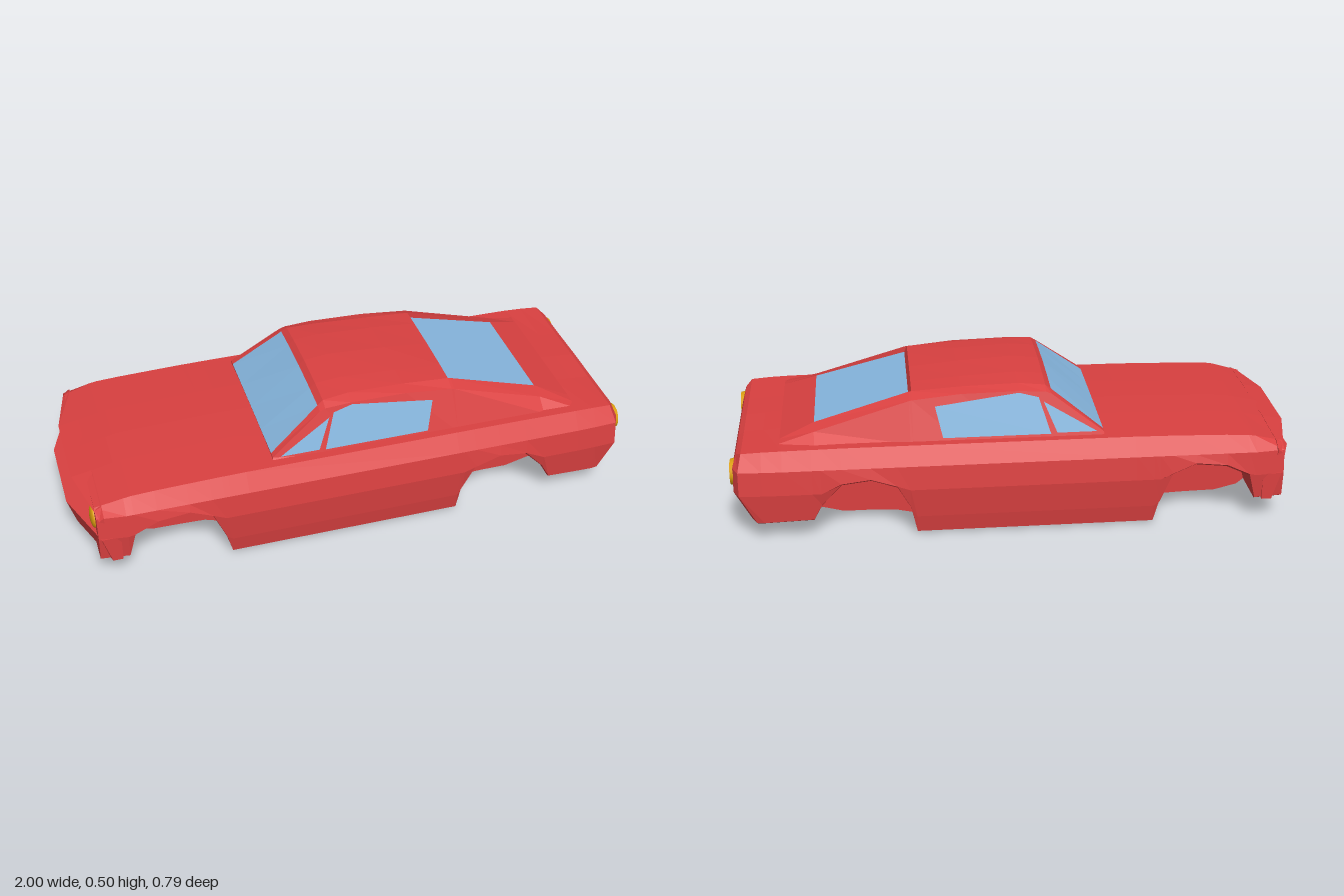
import * as THREE from 'three';

const paint = new THREE.MeshStandardMaterial({ color: 0xd94040 });
paint.name = 'red paint';
const glass = new THREE.MeshStandardMaterial({ color: 0x86b6de, side: THREE.DoubleSide });
glass.name = 'blue glass';
const lamp = new THREE.MeshStandardMaterial({ color: 0xdca010 });
lamp.name = 'amber lamp';

// Flat-faceted skin over closed rings of [x, y, z]; isGlass picks cells for the second material
function loft(rings, isGlass = () => false) {
  const n = rings[0].length;
  const cells = [[], []];
  const quad = (list, a, b, c, d) => list.push(...a, ...b, ...c, ...a, ...c, ...d);
  for (let i = 0; i < rings.length - 1; i++) {
    for (let j = 0; j < n; j++) {
      const k = (j + 1) % n;
      const side = Math.min(j, n - 1 - j);
      quad(cells[isGlass(i, side) ? 1 : 0], rings[i][j], rings[i][k], rings[i + 1][k], rings[i + 1][j]);
    }
  }
  const first = rings[0], last = rings[rings.length - 1];
  for (let j = 0; j < n / 2; j++) {
    const m = (n - j) % n, k = j + 1, mk = (n - k) % n;
    quad(cells[0], first[j], first[m], first[mk], first[k]);
    quad(cells[0], last[j], last[k], last[mk], last[m]);
  }
  const geo = new THREE.BufferGeometry();
  geo.setAttribute('position', new THREE.Float32BufferAttribute([...cells[0], ...cells[1]], 3));
  geo.addGroup(0, cells[0].length / 3, 0);
  geo.addGroup(cells[0].length / 3, cells[1].length / 3, 1);
  geo.computeVertexNormals();
  return geo;
}

// Half section of [z, y], top centre to bottom centre, mirrored to a full ring
function mirrorRing(half, xAt) {
  const other = half.slice(1, -1).reverse().map(([z, y]) => [-z, y]);
  return [...half, ...other].map(([z, y]) => [xAt(y), y, z]);
}

function add(group, name, geometry, material) {
  const mesh = new THREE.Mesh(geometry, material);
  mesh.name = name;
  group.add(mesh);
  return mesh;
}

// Lower body section: crown, shoulder, outer bottom edge (or arch), centre floor, width
function bodyHalf(crown, shoulder, edge, floor, w) {
  return [
    [0, crown], [0.15, crown - 0.002], [0.345 * w, shoulder],
    [0.385 * w, Math.min(0.26, shoulder - 0.02)],
    [0.395 * w, Math.max(0.176, edge + 0.012)],
    [0.386 * w, Math.max(0.07, edge + 0.006)],
    [0.376 * w, edge], [0.22, edge], [0.22, floor], [0, floor],
  ];
}

function buildBody() {
  // x, crown, shoulder, edge, floor, width
  const stations = [
    [-0.925, 0.289, 0.28, 0.08, 0.08, 0.97],
    [-0.825, 0.312, 0.306, 0.08, 0.08, 1],
    [-0.8, 0.317, 0.31, 0.17, 0.06, 1],
    [-0.72, 0.322, 0.314, 0.208, 0.04, 1],
    [-0.61, 0.325, 0.317, 0.22, 0.038, 1],
    [-0.53, 0.327, 0.319, 0.185, 0.035, 1],
    [-0.485, 0.329, 0.32, 0.08, 0.02, 1],
    [-0.465, 0.33, 0.32, 0.008, 0.005, 1],
    [-0.4, 0.331, 0.321, 0.008, 0, 1],
    [0.365, 0.328, 0.322, 0.008, 0, 1],
    [0.385, 0.328, 0.322, 0.1, 0.005, 1],
    [0.43, 0.328, 0.322, 0.18, 0.015, 1],
    [0.52, 0.328, 0.322, 0.21, 0.02, 1],
    [0.62, 0.328, 0.322, 0.198, 0.02, 1],
    [0.69, 0.327, 0.321, 0.125, 0.038, 1],
    [0.72, 0.327, 0.321, 0.07, 0.045, 1],
    [0.82, 0.325, 0.32, 0.067, 0.065, 1],
    [0.89, 0.319, 0.318, 0.064, 0.062, 0.995],
  ];
  const rings = stations.map(([x, ...s]) => mirrorRing(bodyHalf(...s), () => x));
  // Tail panel: upright above, undercut below
  const tailX = (y) => (y < 0.17 ? 0.93 + (y - 0.06) * 0.5 : y > 0.27 ? 0.978 : 0.99);
  rings.push(mirrorRing(bodyHalf(0.314, 0.314, 0.062, 0.06, 0.985), (y) => tailX(y) - 0.02));
  rings.push(mirrorRing(bodyHalf(0.302, 0.3, 0.06, 0.06, 0.88), tailX));
  return loft(rings);
}

function buildCabin() {
  // x, roof centre, glass edge height, sail height, glass half width, roof edge height, roof edge half width
  const stations = [
    [-0.295, 0.332, 0.33, 0.33, 0.28, 0.329, 0.305],
    [-0.115, 0.477, 0.468, 0.47, 0.24, 0.462, 0.268],
    [-0.095, 0.495, 0.484, 0.484, 0.235, 0.47, 0.266],
    [0, 0.505, 0.49, 0.49, 0.225, 0.476, 0.266],
    [0.2, 0.493, 0.483, 0.483, 0.22, 0.472, 0.263],
    [0.37, 0.477, 0.472, 0.472, 0.22, 0.455, 0.263],
    [0.38, 0.449, 0.449, 0.47, 0.22, 0.453, 0.263],
    [0.71, 0.366, 0.366, 0.37, 0.22, 0.355, 0.27],
    [0.83, 0.325, 0.325, 0.325, 0.25, 0.322, 0.285],
  ];
  const rings = stations.map(([x, yc, yg, ys, zg, ye, ze]) => mirrorRing([
    [0, yc], [0.14, yc + (yg - yc) * 0.4], [zg, yg], [zg, ys], [ze, ye], [0.318, 0.315], [0, 0.3],
  ], () => x));
  // Windscreen and rear window cells
  return loft(rings, (i, j) => (i === 0 || i === 6) && j < 2);
}

// Flat pane laid on the leaning cabin side
function sidePane(points, s) {
  const geo = new THREE.ShapeGeometry(new THREE.Shape(points.map((p) => new THREE.Vector2(...p))));
  const pos = geo.attributes.position;
  for (let i = 0; i < pos.count; i++) {
    pos.setZ(i, s * (0.322 - (pos.getY(i) - 0.315) * 0.323));
  }
  if (s < 0) geo.index.array.reverse();
  geo.computeVertexNormals();
  return geo;
}

export function createModel() {
  const car = new THREE.Group();
  car.name = 'fastbackCar';

  add(car, 'lowerBody', buildBody(), paint);
  add(car, 'cabin', buildCabin(), [paint, glass]);

  // Hood lip overhanging the recessed grille: z, sweep back, top height
  const lip = [[-0.383, 0.055, 0.268], [-0.345, 0.045, 0.287], [-0.15, 0, 0.294],
    [0.15, 0, 0.294], [0.345, 0.045, 0.287], [0.383, 0.055, 0.268]];
  add(car, 'hoodLip', loft(lip.map(([z, b, y]) => [
    [-0.9, y, z], [-0.972 + b, y - 0.014, z], [-0.96 + b, 0.25, z], [-0.9, 0.245, z],
  ])), paint);

  // Front bumper and chin, swept back at the corners
  const bumper = [[-0.39, 0.085], [-0.15, 0], [0.15, 0], [0.39, 0.085]];
  add(car, 'frontBumper', loft(bumper.map(([z, b]) => [
    [-0.85, 0.178, z], [-1 + b, 0.178, z], [-0.97 + b, 0.08, z], [-0.85, 0.08, z],
  ])), paint);

  // Lamps and side glass on both sides
  for (const s of [1, -1]) {
    const label = s > 0 ? 'Left' : 'Right';
    const head = add(car, 'headlight' + label, new THREE.SphereGeometry(1, 12, 8), lamp);
    head.scale.set(0.014, 0.042, 0.042);
    head.position.set(-0.926, 0.218, s * 0.3);

    const tail = add(car, 'tailLight' + label, new THREE.CylinderGeometry(0.044, 0.052, 0.03, 12), lamp);
    tail.rotation.z = -Math.PI / 2;
    tail.position.set(0.985, 0.232, s * 0.3);

    add(car, 'ventWindow' + label,
      sidePane([[-0.27, 0.335], [-0.13, 0.335], [-0.085, 0.44]], s), glass);
    add(car, 'sideWindow' + label,
      sidePane([[-0.108, 0.332], [0.267, 0.332], [0.292, 0.437], [0, 0.472], [-0.068, 0.455]], s), glass);
  }
  return car;
}
